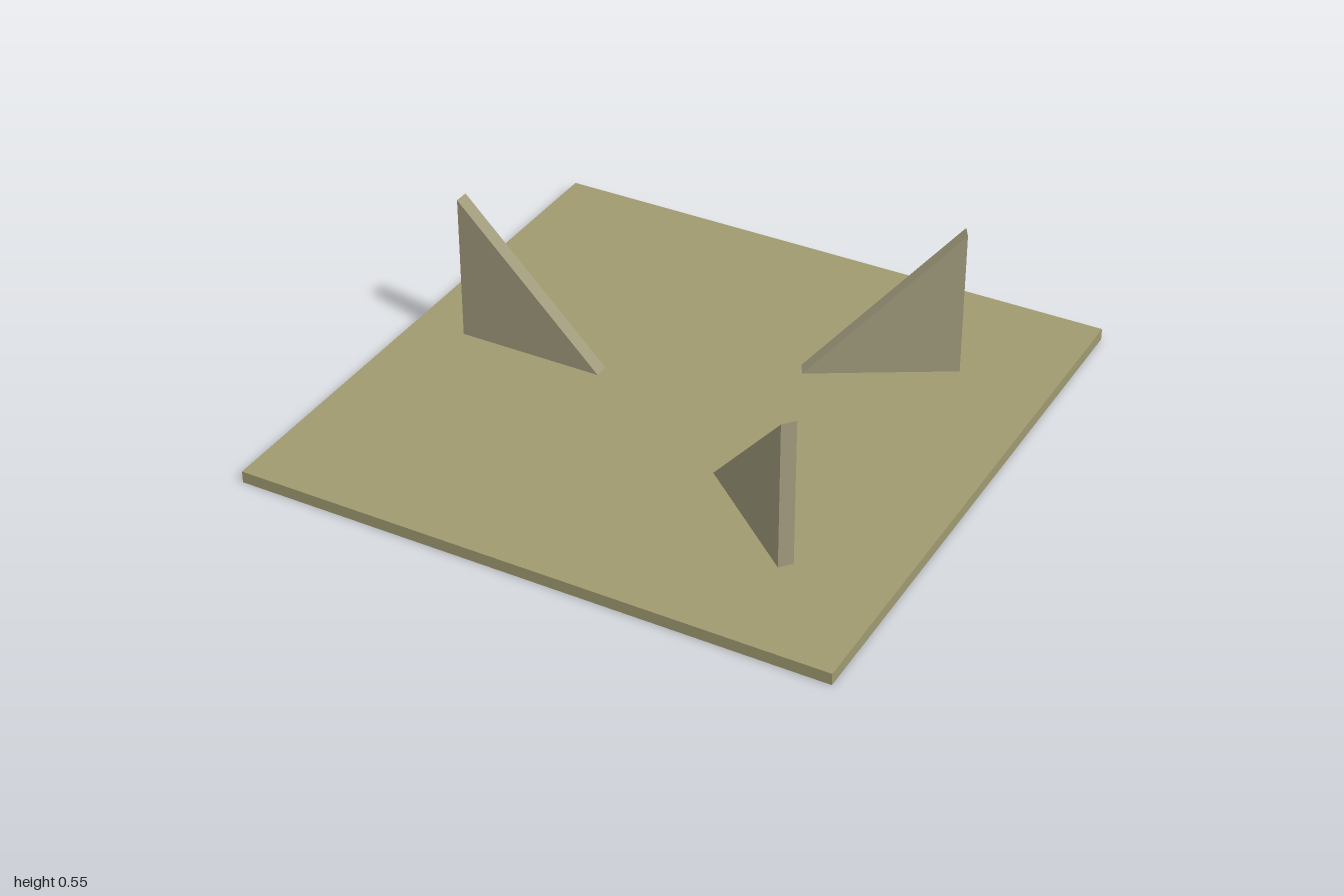
import * as THREE from 'three';

const BASE_TOP = 0.04, FIN_HEIGHT = 0.505, FIN_THICKNESS = 0.05;

// Upright triangular fin: vertical edge at the heel, sloping down to the toe ([x, z] points)
function makeFin(name, heel, toe, material) {
  const dx = toe[0] - heel[0], dz = toe[1] - heel[1];
  const shape = new THREE.Shape();
  shape.moveTo(0, 0);
  shape.lineTo(Math.hypot(dx, dz), 0);
  shape.lineTo(0, FIN_HEIGHT);
  shape.closePath();
  const geometry = new THREE.ExtrudeGeometry(shape, { depth: FIN_THICKNESS, bevelEnabled: false });
  geometry.translate(0, 0, -FIN_THICKNESS / 2);
  const fin = new THREE.Mesh(geometry, material);
  fin.name = name;
  fin.position.set(heel[0], BASE_TOP, heel[1]);
  fin.rotation.y = Math.atan2(-dz, dx);
  return fin;
}

export function createModel() {
  const model = new THREE.Group();
  model.name = 'plateWithFins';
  const plateMaterial = new THREE.MeshStandardMaterial({ color: 0xa09a70, flatShading: true });
  const finMaterial = new THREE.MeshStandardMaterial({ color: 0xa09a7c, flatShading: true });

  // Square base plate
  const plate = new THREE.Mesh(new THREE.BoxGeometry(2, BASE_TOP, 2), plateMaterial);
  plate.name = 'basePlate';
  plate.position.y = BASE_TOP / 2;
  model.add(plate);

  // Three fins with their toes toward the middle
  model.add(
    makeFin('rightFin', [-0.82, 0], [-0.315, 0], finMaterial),
    makeFin('backLeftFin', [0.68, -0.57], [0.243, -0.317], finMaterial),
    makeFin('frontLeftFin', [0.665, 0.625], [0.278, 0.3], finMaterial),
  );
  return model;
}
